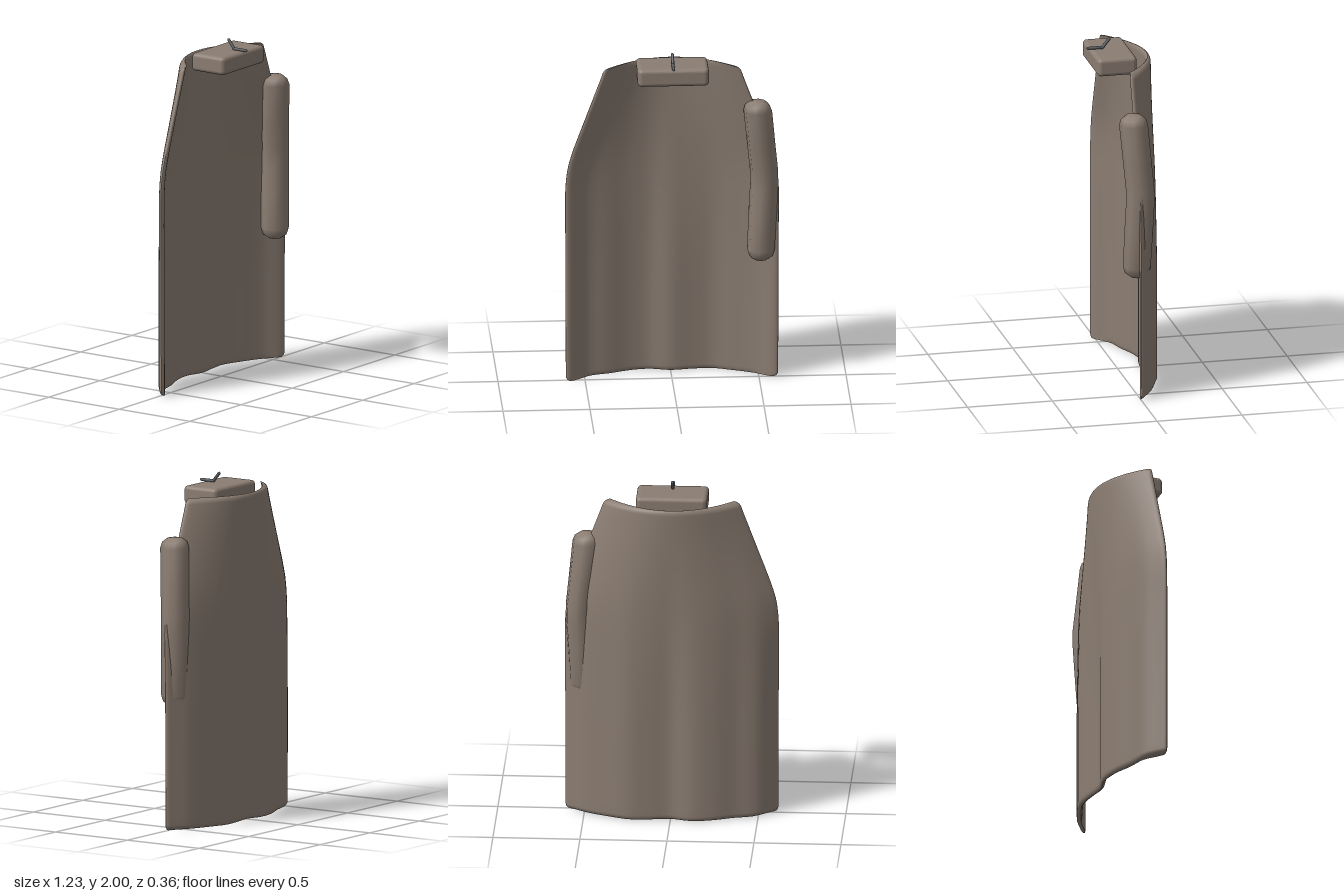
import * as THREE from 'three';
import { RoundedBoxGeometry } from 'three/addons/geometries/RoundedBoxGeometry.js';

const cloth = new THREE.MeshStandardMaterial({ color: 0x8b7d72, side: THREE.DoubleSide });
const metal = new THREE.MeshStandardMaterial({ color: 0x585c60 });

function add(group, name, geometry, material) {
  const mesh = new THREE.Mesh(geometry, material);
  mesh.name = name;
  group.add(mesh);
  return mesh;
}

// Skin a stack of closed rings, listed from bottom to top
function loft(rings) {
  const n = rings[0].length, pos = [], index = [];
  rings.forEach(r => r.forEach(p => pos.push(p[0], p[1], p[2])));
  for (let k = 0; k < rings.length - 1; k++) {
    for (let i = 0; i < n; i++) {
      const a = k * n + i, b = k * n + (i + 1) % n;
      index.push(a, a + n, b, b, a + n, b + n);
    }
  }
  const g = new THREE.BufferGeometry();
  g.setAttribute('position', new THREE.Float32BufferAttribute(pos, 3));
  g.setIndex(index);
  g.computeVertexNormals();
  return g;
}

// Linear lookup in a table of [key, value] with rising keys
function lookup(table, v) {
  let i = 1;
  while (i < table.length - 1 && v > table[i][0]) i++;
  const [a, b] = [table[i - 1], table[i]];
  return THREE.MathUtils.mapLinear(v, a[0], b[0], a[1], b[1]);
}

// Cape: a plain arc at the shoulders that relaxes into folds at the hem
const HEIGHT = 1.9, ROUND = 0.03, HALF = 0.016;
const widths = [[0, 0.61], [1.15, 0.614], [1.25, 0.607], [1.33, 0.592], [1.42, 0.563], [1.85, 0.402], [1.9, 0.385]];
const hem = new THREE.SplineCurve(
  [0.015, -0.07, -0.105, -0.15, -0.168, -0.14, -0.155, -0.16, -0.12, -0.07, 0]
    .map((z, i) => new THREE.Vector2(-1 + i * 0.2, z)));

function capePoint(t, y, w) {
  const fold = 1 - THREE.MathUtils.smoothstep(y, 0.5, HEIGHT);
  const arc = 0.012 - 0.18 * (1 - t * t);
  const z = THREE.MathUtils.lerp(arc, hem.getPoint((t + 1) / 2).y, fold);
  return [t * w, z];
}

function capeGeometry() {
  const rows = [], N = 64;
  for (let i = 0; i <= 5; i++) rows.push(ROUND * (1 - Math.cos(i / 5 * Math.PI / 2)));
  for (let i = 1; i < 40; i++) rows.push(ROUND + (HEIGHT - 2 * ROUND) * i / 40);
  for (let i = 5; i >= 0; i--) rows.push(HEIGHT - rows[i]);
  const rings = rows.map(y => {
    const d = Math.min(y, HEIGHT - y, ROUND) / ROUND;
    const round = Math.sqrt(Math.max(0, 1 - (1 - d) ** 2));
    const w = lookup(widths, y) - ROUND * (1 - round);
    const back = [], front = [];
    for (let i = 0; i <= N; i++) {
      const t = -Math.cos(Math.PI * i / N);
      const [x, z] = capePoint(t, y, w);
      const p = capePoint(Math.max(-1, t - 0.01), y, w), q = capePoint(Math.min(1, t + 0.01), y, w);
      const dx = q[0] - p[0], dz = q[1] - p[1], len = Math.hypot(dx, dz);
      const h = HALF * round * Math.sqrt(Math.max(0, 1 - t ** 40));
      back.push([x + dz / len * h, y, z - dx / len * h]);
      front.unshift([x - dz / len * h, y, z + dx / len * h]);
    }
    return back.concat(front);
  });
  return loft(rings);
}

// Sleeve: slightly bent eight-sided tube with rounded ends; rows are y, x, z, radius
function sleeveGeometry() {
  const rows = [
    [0.718, 0.51, 0.005, 0], [0.72, 0.51, 0.005, 0.04], [0.74, 0.51, 0.005, 0.068], [0.78, 0.511, 0.005, 0.08],
    [1.0, 0.521, -0.004, 0.082], [1.15, 0.53, -0.01, 0.082], [1.25, 0.53, -0.01, 0.082], [1.4, 0.515, 0.002, 0.082],
    [1.63, 0.492, 0.02, 0.083], [1.665, 0.49, 0.02, 0.072], [1.686, 0.49, 0.02, 0.045], [1.69, 0.49, 0.02, 0],
  ];
  return loft(rows.map(([y, x, z, r]) => Array.from({ length: 8 }, (_, i) => {
    const a = i / 8 * Math.PI * 2 + 0.2;
    return [x + r * Math.cos(a), y, z + r * Math.sin(a)];
  })));
}

// Collar: padded block whose ends bulge outward
function collarGeometry() {
  const g = new RoundedBoxGeometry(0.4, 0.105, 0.23, 5, 0.022);
  const p = g.attributes.position;
  for (let i = 0; i < p.count; i++) {
    const y = p.getY(i) / 0.0525, z = p.getZ(i) / 0.115;
    p.setX(i, p.getX(i) * (1 + 0.08 * (1 - z * z) * (1 - 0.3 * y * y)));
    p.setZ(i, p.getZ(i) * (1 + 0.02 * (1 - y * y)));
  }
  g.computeVertexNormals();
  return g;
}

export function createModel() {
  const model = new THREE.Group();
  model.name = 'capeWithSleeve';

  add(model, 'cape', capeGeometry(), cloth);
  add(model, 'sleeve', sleeveGeometry(), cloth);
  add(model, 'collar', collarGeometry(), cloth).position.set(0, 1.885, 0.045);

  // Bent pin on top of the collar
  const pin = new THREE.Group();
  pin.name = 'pin';
  const bends = [[1.945, 0.172], [1.945, 0.088], [1.992, 0.05]].map(([y, z]) => new THREE.Vector3(0, y, z));
  for (let i = 0; i < 2; i++) {
    add(pin, 'pinRod', new THREE.TubeGeometry(new THREE.LineCurve3(bends[i], bends[i + 1]), 1, 0.009, 10), metal);
  }
  for (const b of bends) add(pin, 'pinJoint', new THREE.SphereGeometry(0.009, 10, 8), metal).position.copy(b);
  model.add(pin);

  return model;
}
